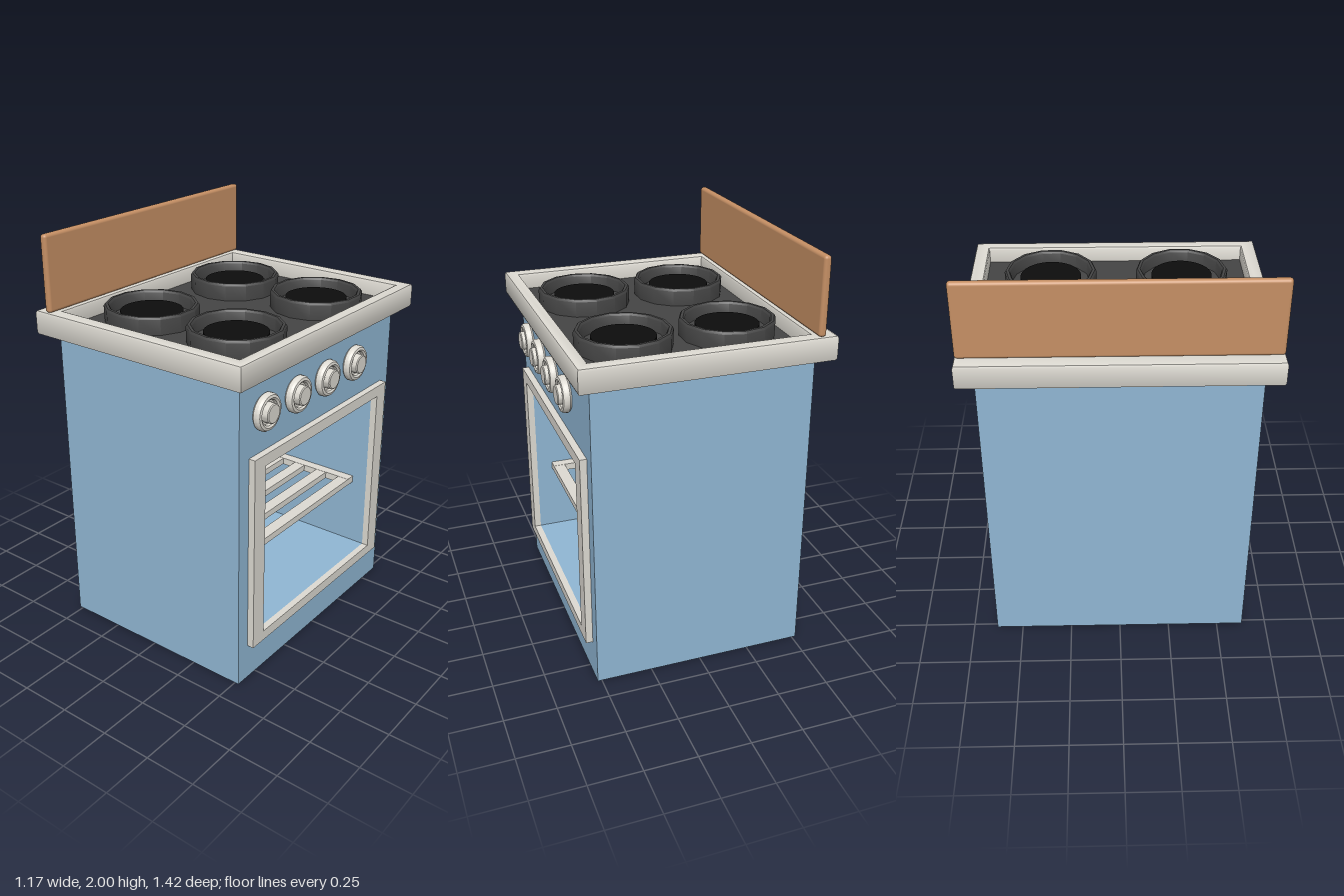
import * as THREE from 'three';
import { RoundedBoxGeometry } from 'three/addons/geometries/RoundedBoxGeometry.js';
import { toCreasedNormals } from 'three/addons/utils/BufferGeometryUtils.js';

const mat = (color) => new THREE.MeshStandardMaterial({ color });

// Rectangle with a rectangular hole; each given as [x0, x1, y0, y1]
function frameShape(outer, inner) {
  const corners = ([x0, x1, y0, y1]) => [[x0, y0], [x1, y0], [x1, y1], [x0, y1]].map((p) => new THREE.Vector2(...p));
  const shape = new THREE.Shape(corners(outer));
  shape.holes.push(new THREE.Path(corners(inner).reverse()));
  return shape;
}

// Frame lying across the z-y plane, extruded from x0 to x1
function frameAlongX(outer, inner, x0, x1) {
  return new THREE.ExtrudeGeometry(frameShape(outer, inner), { depth: x1 - x0, bevelEnabled: false })
    .rotateY(Math.PI / 2).translate(x0, 0, 0);
}

export function createModel() {
  const model = new THREE.Group();
  model.name = 'stove';
  const blue = mat(0x90b6d3), cream = mat(0xdddad2), wood = mat(0xc58f64);
  const dark = mat(0x454545), black = mat(0x0d0d0d);

  function add(name, geometry, material, x = 0, y = 0, z = 0, parent = model) {
    const mesh = new THREE.Mesh(geometry, material);
    mesh.name = name;
    mesh.position.set(x, y, z);
    parent.add(mesh);
    return mesh;
  }
  const box = (w, h, d) => new THREE.BoxGeometry(w, h, d);
  const lathe = (pts, sides) => toCreasedNormals(
    new THREE.LatheGeometry(pts.map((p) => new THREE.Vector2(...p)), sides), 0.6);

  // Hollow body, open at the oven door
  const opening = [-0.48, 0.48, 0.23, 1.1];
  add('body', frameAlongX([-0.63, 0.63, 0, 1.52], opening, -0.46, 0.52), blue);
  add('bodyBack', box(0.06, 1.52, 1.26), blue, -0.49, 0.76, 0);

  // Door frame
  add('ovenFrame', frameAlongX([-0.56, 0.56, 0.18, 1.155], opening, 0.52, 0.553), cream);

  // Oven rack: two end rails and slats running across the oven
  const rack = new THREE.Group();
  rack.name = 'ovenRack';
  model.add(rack);
  for (const side of [-1, 1]) add('rackRail', box(0.88, 0.035, 0.05), cream, 0, 0.598, side * 0.455, rack);
  for (let i = 0; i < 7; i++) add('rackSlat', box(0.06, 0.033, 0.88), cream, -0.41 + i * 0.1367, 0.598, 0, rack);

  // Bevelled rim around the recessed cooktop
  const b = 0.014;
  const rim = new THREE.ExtrudeGeometry(
    frameShape([-0.588, 0.586, -0.708, 0.708], [-0.48, 0.525, -0.637, 0.64]),
    { depth: 0.12 - 2 * b, bevelThickness: b, bevelSize: b, bevelOffset: -b, bevelSegments: 2 });
  add('cooktopRim', toCreasedNormals(rim.rotateX(-Math.PI / 2), 0.6), cream, 0, 1.52 + b, 0);
  add('cooktopFloor', box(1.02, 0.035, 1.29), dark, 0.0225, 1.5425, 0);

  // Four burners: raised faceted ring with a black plate inside
  const ring = lathe([[0.222, 0], [0.224, 0.075], [0.217, 0.086], [0.204, 0.086], [0.197, 0.076], [0.192, 0.02], [0, 0.02]], 14);
  const plate = new THREE.CylinderGeometry(0.148, 0.148, 0.05, 36);
  for (const x of [-0.225, 0.27]) {
    for (const z of [-0.322, 0.318]) {
      add('burnerRing', ring, dark, x, 1.559, z);
      add('burnerPlate', plate, black, x, 1.587, z);
    }
  }

  // Splashback
  add('splashback', new RoundedBoxGeometry(0.036, 0.362, 1.41, 3, 0.015), wood, -0.512, 1.819, 0);

  // Control knobs: rounded collar around a raised centre
  const knob = lathe([[0.078, 0], [0.087, 0.01], [0.087, 0.028], [0.08, 0.039], [0.068, 0.042],
    [0.059, 0.036], [0.056, 0.022], [0.046, 0.022], [0.046, 0.054], [0.041, 0.058], [0, 0.058]], 28)
    .rotateZ(-Math.PI / 2);
  for (let i = 0; i < 4; i++) add('knob', knob, cream, 0.519, 1.345, 0.458 - i * 0.241);

  return model;
}
